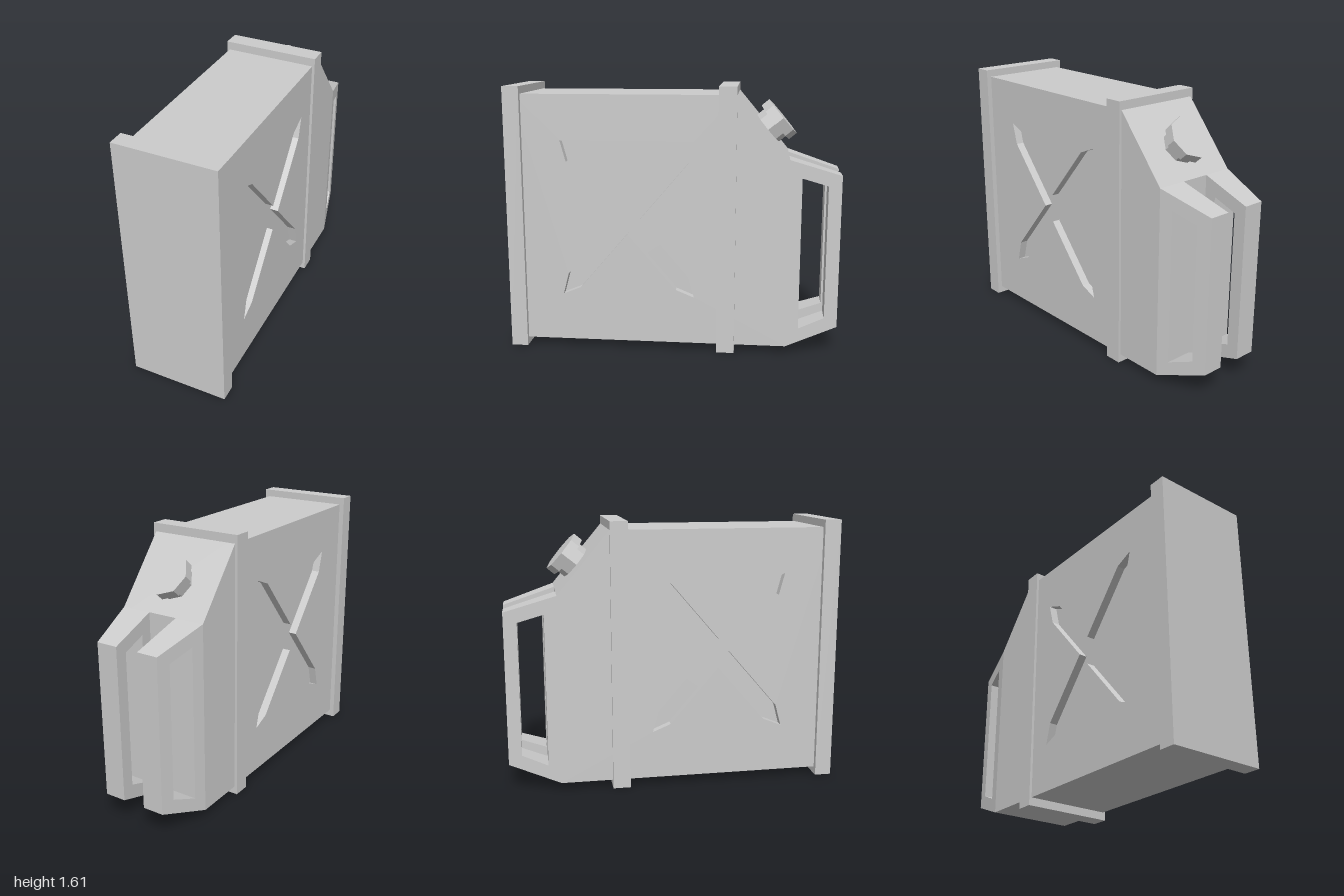
import * as THREE from 'three';

const mat = new THREE.MeshStandardMaterial({ color: 0xcccccc, flatShading: true });

// Side outlines are lists of [z, y]; extrusion runs along x from x0 to x1.
const toPoints = (list) => list.map(([z, y]) => new THREE.Vector2(-z, y));

function extrudeX(outline, hole, x0, x1) {
  const shape = new THREE.Shape(toPoints(outline));
  if (hole) shape.holes.push(new THREE.Path(toPoints(hole)));
  const geo = new THREE.ExtrudeGeometry(shape, { depth: x1 - x0, bevelEnabled: false });
  return geo.rotateY(Math.PI / 2).translate(x0, 0, 0);
}

function addMesh(parent, name, geo) {
  const mesh = new THREE.Mesh(geo, mat);
  mesh.name = name;
  parent.add(mesh);
  return mesh;
}

export function createModel() {
  const model = new THREE.Group();
  model.name = 'fuelCan';
  const W = 0.27, grooveDepth = 0.05;

  // Body: solid core, plus a side plate on each side with a cross cut into it
  const bodyOutline = [[0.95, 0.05], [-0.69, 0.05], [-0.69, 1.19], [-0.38, 1.56], [0.95, 1.56]];
  const cz = 0.268, cy = 0.815;
  const quarter = [[0.073, 0], [0.367, 0.345], [0.402, 0.475], [0.292, 0.43], [0, 0.088]];
  const cross = [
    ...quarter,
    ...quarter.slice(0, 4).reverse().map(([a, b]) => [-a, b]),
    ...quarter.slice(1).map(([a, b]) => [-a, -b]),
    ...quarter.slice(1, 4).reverse().map(([a, b]) => [a, -b]),
  ].map(([a, b]) => [cz + a, cy + b]);
  const inner = W - grooveDepth;
  addMesh(model, 'bodyCore', extrudeX(bodyOutline, null, -inner, inner));
  addMesh(model, 'leftSidePlate', extrudeX(bodyOutline, cross, inner, W));
  addMesh(model, 'rightSidePlate', extrudeX(bodyOutline, cross, -W, -inner));

  // Base flange and middle band
  addMesh(model, 'frontFlange', new THREE.BoxGeometry(0.6, 1.6, 0.1).translate(0, 0.805, 0.95));
  addMesh(model, 'middleBand', new THREE.BoxGeometry(0.572, 1.61, 0.106).translate(0, 0.805, -0.327));

  // Two handles, tapering toward the back, each with a window
  const handleOutline = [[-0.69, 0.05], [-1, 0.16], [-1, 1.09], [-0.69, 1.19]];
  const handleWindow = [[-0.765, 0.16], [-0.92, 0.22], [-0.92, 1.03], [-0.765, 1.08]];
  for (const side of [1, -1]) {
    const geo = extrudeX(handleOutline, handleWindow, side > 0 ? 0 : -1, side > 0 ? 1 : 0);
    const p = geo.attributes.position;
    for (let i = 0; i < p.count; i++) {
      const t = (-0.69 - p.getZ(i)) / 0.31;
      const near = THREE.MathUtils.lerp(0.09, 0.07, t);
      const far = THREE.MathUtils.lerp(W, 0.2, t);
      p.setX(i, side * THREE.MathUtils.lerp(near, far, Math.abs(p.getX(i))));
    }
    geo.computeVertexNormals();
    addMesh(model, side > 0 ? 'leftHandle' : 'rightHandle', geo);
  }

  // Octagonal spout and cap on the sloped shoulder
  const cap = new THREE.Group();
  cap.name = 'spout';
  cap.position.set(0, 1.345, -0.56);
  cap.rotation.x = -0.873;
  addMesh(cap, 'spoutNeck', new THREE.CylinderGeometry(0.105, 0.105, 0.08, 8).translate(0, 0.02, 0));
  addMesh(cap, 'spoutCap', new THREE.CylinderGeometry(0.132, 0.132, 0.06, 8).translate(0, 0.085, 0));
  model.add(cap);

  return model;
}
